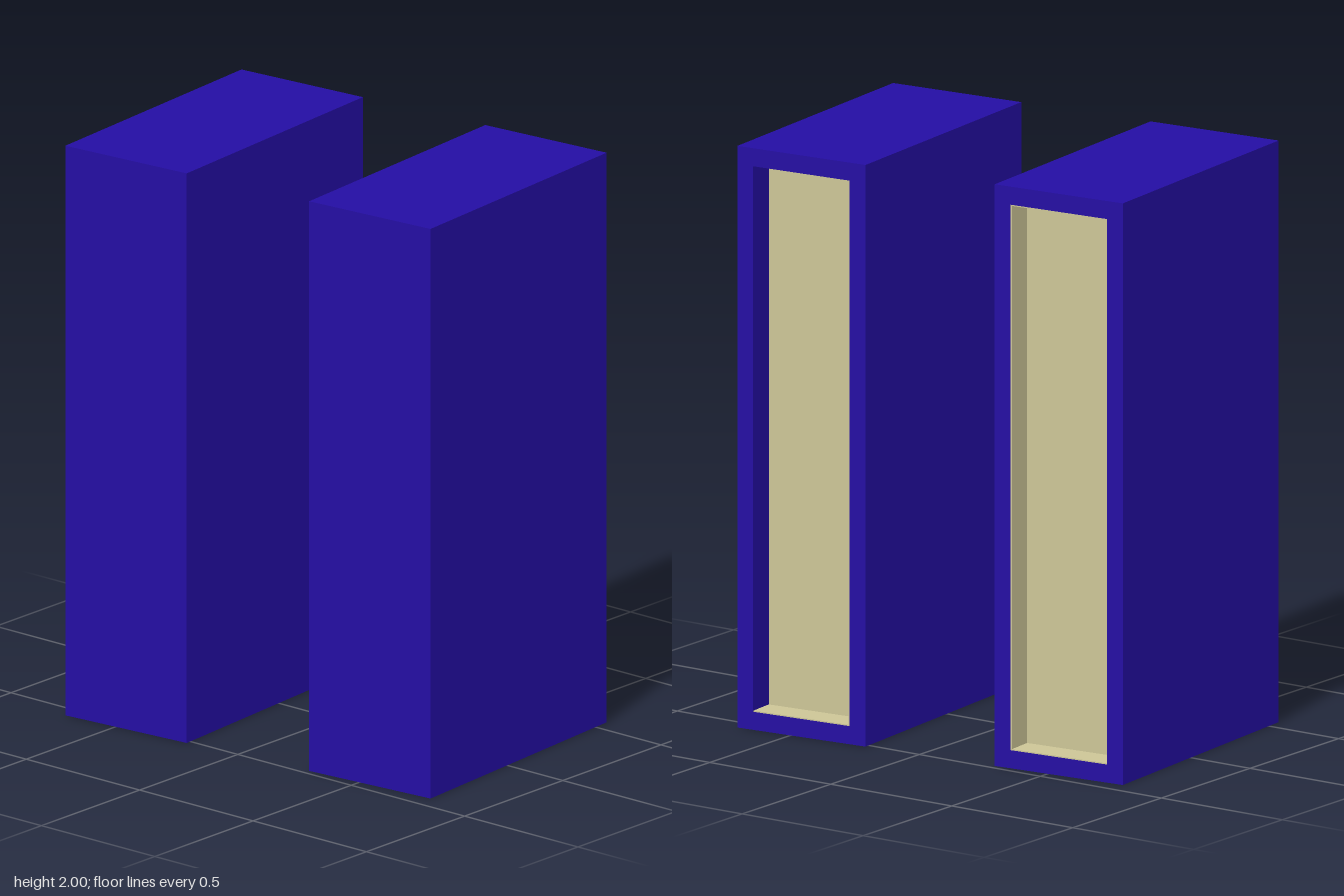
import * as THREE from 'three';

export function createModel() {
  const blue = new THREE.MeshStandardMaterial({ color: 0x240da3 });
  blue.name = 'deep blue';
  const cream = new THREE.MeshStandardMaterial({ color: 0xcdc697 });
  cream.name = 'cream';

  const W = 0.5, H = 2, D = 1;       // outer size of each case
  const wall = 0.062, recess = 0.1;  // rim thickness and depth of the opening
  const iw = W - 2 * wall, ih = H - 2 * wall;

  const model = new THREE.Group();
  model.name = 'pairOfCases';
  model.rotation.y = 0.086;

  const add = (parent, name, geometry, material, x, y, z) => {
    const mesh = new THREE.Mesh(geometry, material);
    mesh.name = name;
    mesh.position.set(x, y, z);
    parent.add(mesh);
  };
  const rect = (target, w, h) => target.moveTo(-w / 2, -h / 2).lineTo(w / 2, -h / 2)
    .lineTo(w / 2, h / 2).lineTo(-w / 2, h / 2).closePath();

  // Rectangular sleeve, open at the back
  const outline = rect(new THREE.Shape(), W, H);
  outline.holes.push(rect(new THREE.Path(), iw, ih));
  const sleeve = new THREE.ExtrudeGeometry(outline, { depth: D - wall, bevelEnabled: false });

  const t = 0.004; // lining plate thickness
  const blockDepth = D - wall - recess;
  const linings = {
    left: [t, ih, iw / 2 - t / 2, 0],
    right: [t, ih, -iw / 2 + t / 2, 0],
    top: [iw, t, 0, ih / 2 - t / 2],
    bottom: [iw, t, 0, -ih / 2 + t / 2],
  };

  const makeCase = (name, x, linedSides) => {
    const group = new THREE.Group();
    group.name = name;
    group.position.set(x, H / 2, 0);
    add(group, 'sleeve', sleeve, blue, 0, 0, -D / 2);
    add(group, 'frontBoard', new THREE.BoxGeometry(W, H, wall), blue, 0, 0, D / 2 - wall / 2);
    // Cream block set back inside the opening
    add(group, 'innerBlock', new THREE.BoxGeometry(iw, ih, blockDepth), cream,
      0, 0, -D / 2 + recess + blockDepth / 2);
    // Cream linings on some walls of the opening
    for (const side of linedSides) {
      const [w, h, px, py] = linings[side];
      add(group, side + 'Lining', new THREE.BoxGeometry(w, h, recess - 0.001), cream,
        px, py, -D / 2 + recess / 2 + 0.0005);
    }
    model.add(group);
  };

  makeCase('rightCase', -0.502, ['left', 'top', 'bottom']);
  makeCase('leftCase', 0.502, ['right', 'bottom']);

  const root = new THREE.Group();
  root.name = 'model';
  root.add(model);
  return root;
}
